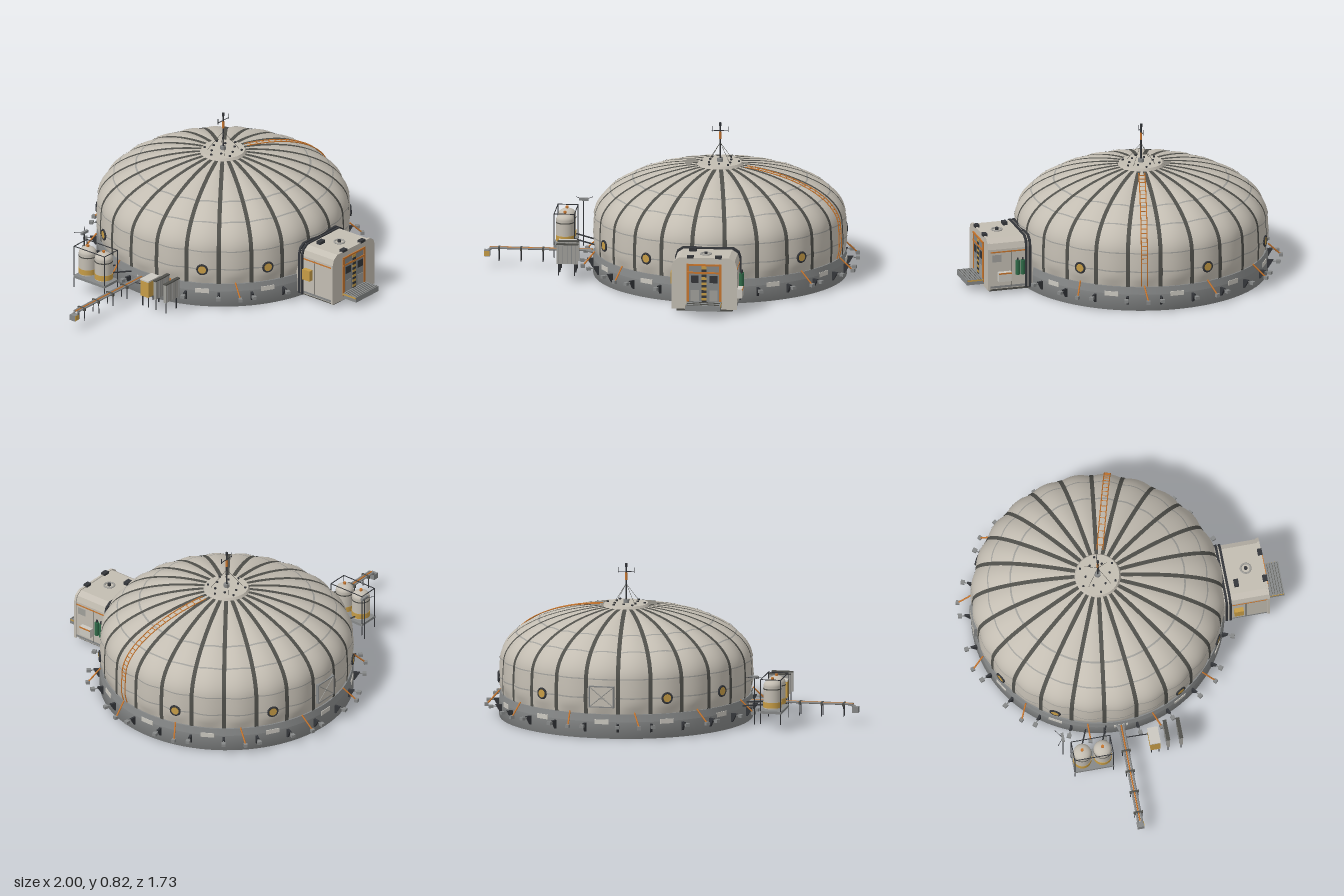
import * as THREE from 'three';

const mat = (name, color, side = THREE.FrontSide) => {
  const m = new THREE.MeshStandardMaterial({ color, side });
  m.name = name;
  return m;
};
const M = {
  fabric: mat('fabric', 0xc3bdb2, THREE.DoubleSide),
  strap: mat('strap', 0x50504b, THREE.DoubleSide),
  steel: mat('steel', 0x868888),
  seam: mat('seam', 0xa09f9a, THREE.DoubleSide),
  dark: mat('dark metal', 0x34363a),
  orange: mat('orange', 0xc8762e),
  gold: mat('gold', 0xc69c46),
  green: mat('green', 0x2f6a48),
  black: mat('black', 0x060606),
  pale: mat('pale', 0xcbc8c0),
};
const rad = THREE.MathUtils.degToRad;
const V = (x, y, z) => new THREE.Vector3(x, y, z);
const CX = 0.26, CZ = -0.13, GORES = 24;

function add(parent, name, geo, m, x = 0, y = 0, z = 0) {
  const mesh = new THREE.Mesh(geo, m);
  mesh.name = name;
  mesh.position.set(x, y, z);
  parent.add(mesh);
  return mesh;
}
const box = (p, name, m, w, h, d, x, y, z) => add(p, name, new THREE.BoxGeometry(w, h, d), m, x, y, z);
const cyl = (p, name, m, r, h, x, y, z, n = 20, r2 = r) =>
  add(p, name, new THREE.CylinderGeometry(r, r2, h, n), m, x, y, z);
function rod(p, name, m, a, b, r = 0.004) {
  const mesh = cyl(p, name, m, r, a.distanceTo(b), 0, 0, 0, 8);
  mesh.position.copy(a).lerp(b, 0.5);
  mesh.quaternion.setFromUnitVectors(V(0, 1, 0), b.clone().sub(a).normalize());
  return mesh;
}
function group(parent, name, x = 0, y = 0, z = 0, turn = 0) {
  const g = new THREE.Group();
  g.name = name;
  g.position.set(x, y, z);
  g.rotation.y = rad(turn);
  parent.add(g);
  return g;
}

// Dome profile: short wall, then a quarter ellipse; returns [radius, height]
function profile(s) {
  if (s < 0.25) return [0.659 + 0.004 * Math.sin(s * 4 * Math.PI), 0.12 + 0.74 * s];
  const a = (s - 0.25) / 0.75 * Math.PI / 2;
  return [0.659 * Math.cos(a), 0.305 + 0.286 * Math.sin(a)];
}
// Point on the pillowed skin: angle in degrees from +z, valleys at the straps
function skin(s, deg, off = 0, pillow = true) {
  const [r, y] = profile(s), [r0, y0] = profile(Math.max(0, s - 0.01)), [r1, y1] = profile(Math.min(1, s + 0.01));
  const l = Math.hypot(r1 - r0, y1 - y0);
  const puff = pillow ? 0.014 * (r / 0.659) * Math.min(1, s / 0.08) * Math.abs(Math.cos(rad(deg * GORES / 2))) : 0;
  const k = puff + off, R = r + k * (y1 - y0) / l;
  return V(R * Math.sin(rad(deg)), y + k * (r0 - r1) / l, R * Math.cos(rad(deg)));
}
// Grid surface; f(u, v) gives a point, u runs to the right and v upward
function grid(nu, nv, f) {
  const pos = [], idx = [];
  for (let j = 0; j <= nv; j++) for (let i = 0; i <= nu; i++) pos.push(...f(i / nu, j / nv).toArray());
  for (let j = 0; j < nv; j++) for (let i = 0; i < nu; i++) {
    const a = j * (nu + 1) + i, b = a + 1, c = a + nu + 1, d = c + 1;
    idx.push(a, b, d, a, d, c);
  }
  const g = new THREE.BufferGeometry();
  g.setAttribute('position', new THREE.Float32BufferAttribute(pos, 3));
  g.setIndex(idx);
  g.computeVertexNormals();
  return g;
}

function buildDome(root) {
  const dome = group(root, 'dome', CX, 0, CZ);
  const gore = grid(8, 36, (u, v) => skin(v * 0.99, (u - 0.5) * 15));
  const strap = grid(1, 36, (u, v) => {
    const s = v * 0.97, half = Math.min(0.011, profile(s)[0] * 0.08);
    const p = skin(s, 0, 0.006, false);
    p.x = (u - 0.5) * 2 * half;
    return p;
  });
  for (let i = 0; i < GORES; i++) {
    add(dome, 'gore', gore, M.fabric).rotation.y = rad(i * 15);
    add(dome, 'strap', strap, M.strap).rotation.y = rad(i * 15 + 7.5);
  }
  for (const s of [0.13, 0.27, 0.49, 0.63])
    add(dome, 'seamBand', grid(192, 1, (u, v) => skin(s + (v - 0.5) * 0.009, u * 360, 0.002)), M.seam);

  // Foundation ring, open below, with a black floor
  const ring = [[0.64, 0.12], [0.64, 0], [0.675, 0], [0.675, 0.09], [0.675, 0.09], [0.669, 0.13], [0.669, 0.13], [0.64, 0.13]];
  add(dome, 'baseRing', new THREE.LatheGeometry(ring.map(p => new THREE.Vector2(...p)), 96), M.steel);
  add(dome, 'floor', new THREE.CircleGeometry(0.645, 96), M.black, 0, 0.115, 0).rotation.x = Math.PI / 2;
  for (const t of [30, 120]) box(dome, 'floorBeam', M.black, 0.03, 0.012, 1.0, 0, 0.108, 0).rotation.y = rad(t);

  // Gussets, anchors, tie-downs and plates round the ring
  const fin = new THREE.Shape([[0, 0.035], [0.008, 0.035], [0.036, 0.082], [0, 0.082]].map(p => new THREE.Vector2(...p)));
  const finGeo = new THREE.ExtrudeGeometry(fin, { depth: 0.012, bevelEnabled: false });
  finGeo.rotateY(-Math.PI / 2).translate(0.006, 0, 0.673);
  for (let i = 0; i < GORES; i++) {
    const a = i * 15 + 7.5;
    if (Math.abs(a - 180) > 165) continue;
    const g = group(dome, 'anchor', 0, 0, 0, a);
    add(g, 'gusset', finGeo, M.dark);
    rod(g, 'anchorArm', M.steel, V(0, 0.075, 0.69), V(0, 0.072, 0.725), 0.003);
    box(g, 'anchorBlock', M.steel, 0.022, 0.016, 0.022, 0, 0.072, 0.733);
  }
  for (let a = 15; a < 360; a += 30) {
    if (a === 15 || a === 345) continue;
    const g = group(dome, 'tieDown', 0, 0, 0, a);
    rod(g, 'tieStrap', M.orange, V(0, 0.14, 0.676), V(0.02, 0.075, 0.74), 0.0042);
    box(g, 'tieBlock', M.steel, 0.02, 0.018, 0.02, 0.02, 0.07, 0.745);
  }
  for (let a = 30; a < 360; a += 30)
    box(dome, 'ringPlate', M.pale, 0.075, 0.025, 0.006, 0.673 * Math.sin(rad(a)), 0.09, 0.673 * Math.cos(rad(a))).rotation.y = rad(a);

  // Portholes
  for (const a of [45, 105, 150, 210, 240, 300, 330]) {
    const g = group(dome, 'porthole', 0, 0, 0, a);
    cyl(g, 'portholeGlass', M.gold, 0.025, 0.022, 0, 0.215, 0.671, 28).rotation.x = Math.PI / 2;
    add(g, 'portholeRim', new THREE.TorusGeometry(0.026, 0.006, 8, 28), M.dark, 0, 0.215, 0.678);
  }

  // Rear service panel with cross bracing
  const h = group(dome, 'servicePanel', 0, 0.225, -0.671, 180);
  box(h, 'panel', M.fabric, 0.13, 0.11, 0.014, 0, 0, 0);
  for (const s of [-1, 1]) {
    box(h, 'panelSide', M.steel, 0.006, 0.116, 0.018, s * 0.065, 0, 0);
    box(h, 'panelRail', M.steel, 0.13, 0.006, 0.018, 0, s * 0.055, 0);
    rod(h, 'panelBrace', M.seam, V(-0.06, -0.05 * s, 0.007), V(0.06, 0.05 * s, 0.007), 0.003);
  }

  // Ladder following the curve of the skin
  const ladder = group(dome, 'ladder', 0, 0, 0, 75);
  const at = (s, x) => skin(s, 0, 0.004).setX(x);
  for (const x of [-0.016, 0.016]) {
    const path = new THREE.CatmullRomCurve3(Array.from({ length: 24 }, (_, i) => at(0.02 + i * 0.038, x)));
    add(ladder, 'ladderRail', new THREE.TubeGeometry(path, 60, 0.0028, 6), M.orange);
  }
  for (let s = 0.2; s < 0.89; s += 0.032) rod(ladder, 'rung', M.orange, at(s, -0.016), at(s, 0.016), 0.0022);

  // Crown plate, bolts and guyed mast
  cyl(dome, 'crownPlate', M.fabric, 0.115, 0.016, 0, 0.598, 0, 40, 0.124);
  for (let i = 0; i < 12; i++) {
    const a = rad(i * 30), r = i % 2 ? 0.1 : 0.065;
    cyl(dome, 'crownBolt', M.dark, 0.006, 0.016, r * Math.sin(a), 0.605, r * Math.cos(a), 8);
  }
  cyl(dome, 'mastFoot', M.steel, 0.016, 0.02, 0, 0.614, 0, 12);
  cyl(dome, 'mast', M.dark, 0.0045, 0.2, 0, 0.71, 0, 10);
  cyl(dome, 'mastBand', M.orange, 0.006, 0.04, 0, 0.75, 0, 10);
  cyl(dome, 'mastLamp', M.dark, 0.007, 0.018, 0, 0.81, 0, 10);
  rod(dome, 'crossArm', M.dark, V(-0.045, 0.775, 0), V(0.045, 0.775, 0), 0.002);
  for (const s of [-1, 1]) rod(dome, 'aerial', M.dark, V(s * 0.043, 0.768, 0), V(s * 0.043, 0.798, 0), 0.002);
  for (let a = 45; a < 360; a += 90)
    rod(dome, 'guyWire', M.strap, V(0, 0.71, 0), V(0.085 * Math.sin(rad(a)), 0.605, 0.085 * Math.cos(rad(a))), 0.001);
}

function buildAirlock(root) {
  const g = group(root, 'airlock', CX, 0, 0);
  const hull = (w, y0, y1, d, c) => new THREE.ExtrudeGeometry(new THREE.Shape(
    [[-w, y0], [w, y0], [w, y1 - c * 1.3], [w - c * 0.25, y1 - c * 0.5], [w - c, y1], [-w + c, y1], [-w + c * 0.25, y1 - c * 0.5], [-w, y1 - c * 1.3]]
      .map(p => new THREE.Vector2(...p))), { depth: d, bevelEnabled: false });
  add(g, 'hull', hull(0.17, 0.03, 0.302, 0.25, 0.04), M.fabric, 0, 0, 0.515);
  for (const z of [0.53, 0.55]) add(g, 'collar', hull(0.176, 0.026, 0.308, 0.013, 0.04), M.dark, 0, 0, z);
  add(g, 'frontFrame', hull(0.175, 0.025, 0.306, 0.012, 0.04), M.fabric, 0, 0, 0.757);
  box(g, 'underframe', M.strap, 0.3, 0.02, 0.23, 0, 0.022, 0.64);

  // Door
  box(g, 'doorLeaf', M.steel, 0.17, 0.21, 0.006, 0, 0.16, 0.769);
  for (const s of [-1, 1]) {
    box(g, 'doorJamb', M.orange, 0.013, 0.225, 0.006, s * 0.087, 0.16, 0.771);
    box(g, 'doorWindow', M.dark, 0.04, 0.04, 0.006, s * 0.05, 0.19, 0.771);
    box(g, 'doorPanel', M.seam, 0.045, 0.06, 0.006, s * 0.05, 0.1, 0.771);
    box(g, 'floodlight', M.dark, 0.035, 0.014, 0.025, s * 0.075, 0.309, 0.76);
    box(g, 'sideStripe', M.orange, 0.006, 0.007, 0.19, s * 0.169, 0.235, 0.66);
    box(g, 'sidePanelSeam', M.strap, 0.004, 0.2, 0.003, s * 0.169, 0.14, 0.64);
    box(g, 'sideSill', M.steel, 0.004, 0.012, 0.19, s * 0.169, 0.04, 0.66);
  }
  for (const y of [0.267, 0.225]) box(g, 'doorHeader', M.orange, 0.187, 0.01, 0.006, 0, y, 0.772);
  for (let i = 0; i < 14; i++)
    box(g, 'hazardStripe', i % 2 ? M.gold : M.dark, 0.026, 0.0143, 0.006, 0, 0.066 + i * 0.0143, 0.771);

  // Entry platform and steps
  box(g, 'platform', M.steel, 0.185, 0.03, 0.095, 0, 0.052, 0.815);
  for (let i = 0; i < 6; i++) box(g, 'tread', M.strap, 0.175, 0.003, 0.002, 0, 0.067, 0.785 + i * 0.014);
  for (const s of [-1, 1]) box(g, 'platformEdge', M.gold, 0.004, 0.008, 0.09, s * 0.092, 0.06, 0.815);

  // Roof fittings
  add(g, 'ventRing', new THREE.TorusGeometry(0.027, 0.005, 8, 24), M.seam, 0, 0.304, 0.67).rotation.x = Math.PI / 2;
  cyl(g, 'ventHub', M.dark, 0.009, 0.02, 0, 0.305, 0.67);
  box(g, 'roofBox', M.dark, 0.04, 0.022, 0.025, -0.075, 0.308, 0.605);

  // Side fittings
  for (const z of [0.58, 0.608]) {
    cyl(g, 'gasBottle', M.green, 0.012, 0.078, 0.183, 0.145, z, 14);
    cyl(g, 'bottleValve', M.dark, 0.005, 0.018, 0.183, 0.19, z, 8);
  }
  box(g, 'sideLocker', M.pale, 0.03, 0.05, 0.07, 0.182, 0.1, 0.68);
  box(g, 'lockerTrim', M.orange, 0.004, 0.008, 0.07, 0.197, 0.121, 0.68);
  box(g, 'sideSign', M.seam, 0.006, 0.04, 0.05, 0.168, 0.2, 0.72);
  box(g, 'controlBox', M.gold, 0.025, 0.06, 0.05, -0.182, 0.155, 0.6);
}

function buildYard(root) {
  // Pipe run leading out from the dome
  const c = group(root, 'pipeRun', 0, 0, CZ);
  for (const s of [-1, 1]) rod(c, 'pipe', M.steel, V(-0.97, 0.104, s * 0.011), V(-0.42, 0.104, s * 0.011), 0.0055);
  rod(c, 'cable', M.orange, V(-0.97, 0.106, 0), V(-0.42, 0.106, 0), 0.004);
  for (let x = -0.92; x < -0.45; x += 0.118) {
    box(c, 'clamp', M.strap, 0.01, 0.016, 0.05, x, 0.102, 0);
    for (const s of [-1, 1]) rod(c, 'leg', M.dark, V(x, 0.1, s * 0.018), V(x, 0.035, s * 0.02), 0.0025);
  }
  for (const s of [-1, 1]) rod(c, 'endPipe', M.steel, V(-0.96, 0.102, s * 0.011), V(-0.985, 0.085, s * 0.011), 0.0055);
  box(c, 'endBox', M.steel, 0.032, 0.032, 0.036, -0.984, 0.075, 0);
  box(c, 'endBoxFace', M.gold, 0.028, 0.028, 0.004, -0.984, 0.075, 0.018);
  for (const s of [-1, 0, 1]) rod(c, 'feedPipe', M.steel, V(-0.47, 0.1, s * 0.006), V(-0.4, 0.1, s * 0.025), 0.006);

  // Tank skid
  const t = group(root, 'tankSkid', -0.58, 0, -0.315);
  box(t, 'deck', M.steel, 0.115, 0.014, 0.215, 0, 0.098, 0);
  for (const x of [-0.054, 0.054]) {
    for (const z of [-0.105, 0.105]) rod(t, 'post', M.dark, V(x, 0.035, z), V(x, 0.275, z), 0.0025);
    rod(t, 'topRail', M.dark, V(x, 0.275, -0.105), V(x, 0.275, 0.105), 0.0025);
  }
  for (const z of [-0.105, 0.105]) rod(t, 'endRail', M.dark, V(-0.054, 0.275, z), V(0.054, 0.275, z), 0.0025);
  for (const z of [-0.055, 0.055]) {
    cyl(t, 'tank', M.fabric, 0.048, 0.12, 0, 0.175, z, 28);
    cyl(t, 'tankBand', M.gold, 0.0495, 0.03, 0, 0.135, z, 28);
    cyl(t, 'tankHoop', M.strap, 0.0495, 0.006, 0, 0.22, z, 28);
    add(t, 'tankTop', new THREE.SphereGeometry(0.048, 28, 8, 0, Math.PI * 2, 0, Math.PI / 2), M.fabric, 0, 0.235, z).scale.y = 0.7;
    cyl(t, 'tankValve', M.orange, 0.008, 0.018, 0, 0.27, z, 10);
    rod(t, 'supplyPipe', M.dark, V(0.045, 0.13, z), V(0.17, 0.11, z + 0.05), 0.004);
  }

  // Dish on a pole
  const d = group(root, 'dish', -0.5, 0, -0.46);
  rod(d, 'dishPole', M.dark, V(0, 0.04, 0), V(0, 0.29, 0), 0.003);
  box(d, 'dishHead', M.steel, 0.05, 0.014, 0.014, 0, 0.295, 0);
  for (const s of [-1, 1]) rod(d, 'dishAerial', M.dark, V(0, 0.29, 0), V(s * 0.045, 0.3, -0.035), 0.0015);

  // Power unit and radiator panels
  const p = group(root, 'powerUnit', -0.54, 0, 0);
  box(p, 'cabinet', M.gold, 0.09, 0.09, 0.052, 0, 0.14, 0.025);
  box(p, 'cabinetLid', M.pale, 0.095, 0.008, 0.057, 0, 0.189, 0.025);
  rod(p, 'powerCable', M.dark, V(0.04, 0.12, 0), V(0.05, 0.1, -0.12), 0.003);
  for (const z of [0.095, 0.165]) {
    box(p, 'radiator', M.seam, 0.115, 0.105, 0.016, 0.012, 0.153, z);
    box(p, 'radiatorCap', M.strap, 0.117, 0.006, 0.02, 0.012, 0.207, z);
    for (let i = -2; i <= 2; i++) box(p, 'radiatorFin', M.steel, 0.003, 0.1, 0.019, 0.012 + i * 0.023, 0.153, z);
  }
  for (const z of [0.005, 0.045, 0.095, 0.165]) for (const x of [-0.035, 0.05])
    rod(p, 'unitLeg', M.dark, V(x, 0.1, z), V(x, 0.035, z), 0.003);
}

export function createModel() {
  const root = new THREE.Group();
  root.name = 'domeHabitat';
  buildDome(root);
  buildAirlock(root);
  buildYard(root);
  return root;
}
